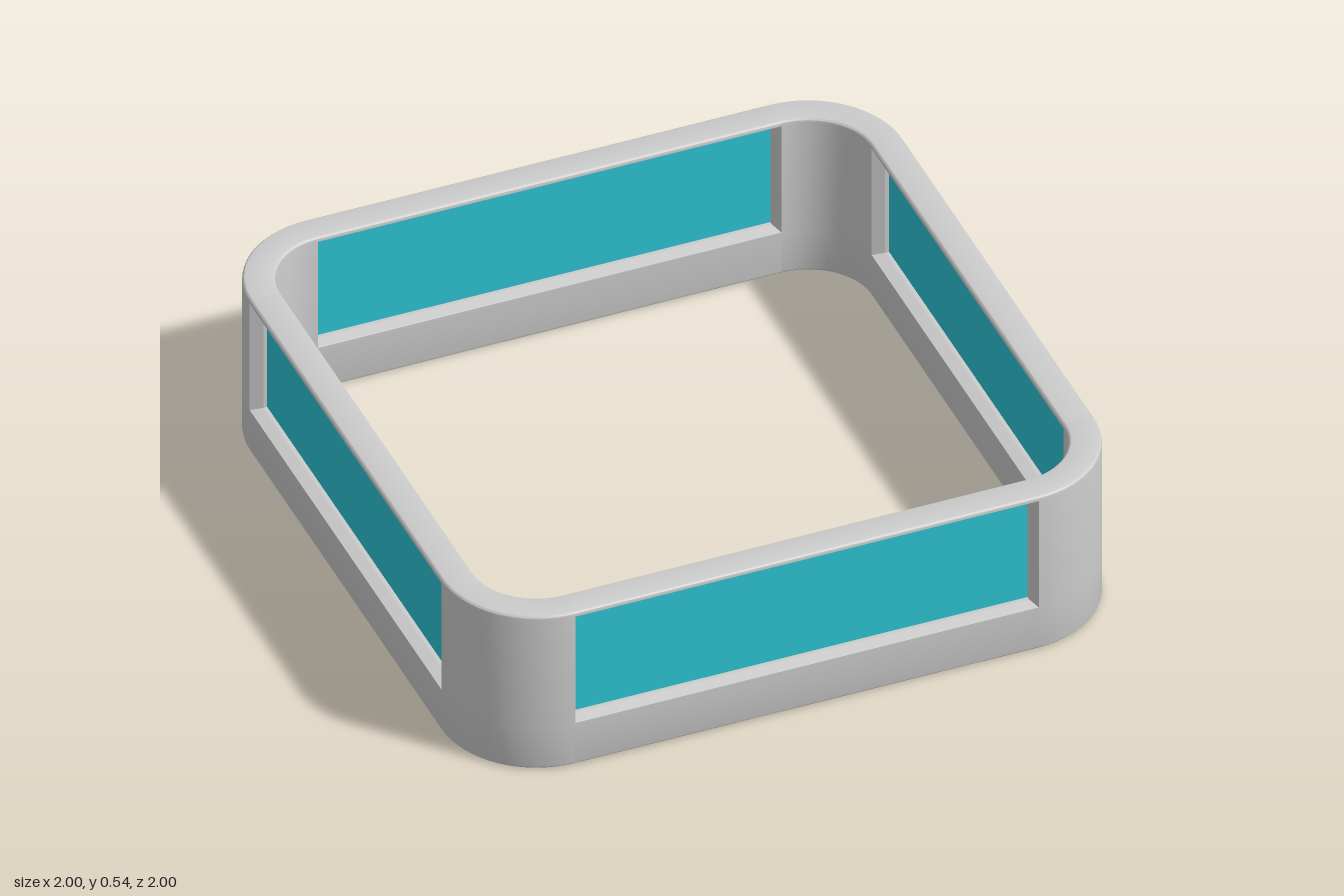
import * as THREE from 'three';
import { mergeGeometries, toCreasedNormals } from 'three/addons/utils/BufferGeometryUtils.js';

const H = 0.54;               // overall height
const C = 0.71;               // corner centre, also half the window width
const R_OUT = 0.29, R_IN = 0.195;
const R_MID = (R_OUT + R_IN) / 2;
const SILL = 0.148, HEAD = 0.525;
const BEVEL = 0.012;

// Surface through rows of points
function loft(rows) {
  const n = rows[0].length, index = [];
  for (let i = 0; i < rows.length - 1; i++) {
    for (let j = 0; j < n - 1; j++) {
      const a = i * n + j, b = a + n;
      index.push(a, b, a + 1, b, b + 1, a + 1);
    }
  }
  const geometry = new THREE.BufferGeometry();
  geometry.setAttribute('position', new THREE.Float32BufferAttribute(rows.flat(2), 3));
  geometry.setIndex(index);
  return geometry;
}

// Small rounded edge of the rail, as [radius, height] points
function roundedEdge(r, y, start) {
  return [0, 1, 2, 3].map((i) => {
    const a = start - (i * Math.PI) / 6;
    return [r + BEVEL * Math.cos(a), y + BEVEL * Math.sin(a)];
  });
}

// Rail cross-sections, running down the outside and up the inside
const lower = [
  [R_OUT, SILL],
  ...roundedEdge(R_OUT - BEVEL, BEVEL, 0),
  ...roundedEdge(R_IN + BEVEL, BEVEL, -Math.PI / 2),
  [R_IN, SILL],
];
const upper = [
  [R_IN, HEAD],
  ...roundedEdge(R_IN + BEVEL, H - BEVEL, Math.PI),
  ...roundedEdge(R_OUT - BEVEL, H - BEVEL, Math.PI / 2),
  [R_OUT, HEAD],
];
const post = [...lower, ...upper, lower[0]];

// Cross-section placed at a point of the path, facing angle a
const section = (profile, x, a) =>
  profile.map(([r, y]) => [x + r * Math.cos(a), y, C + r * Math.sin(a)]);

export function createModel() {
  const group = new THREE.Group();
  const grey = new THREE.MeshStandardMaterial({ color: 0xcccccc });
  const glass = new THREE.MeshStandardMaterial({ color: 0x2cc4d4, side: THREE.DoubleSide });

  // One corner post with the sill and head rail beside it
  const corner = [];
  for (let i = 0; i <= 16; i++) corner.push(section(post, C, (i / 16) * Math.PI / 2));
  const rail = (profile) => loft([C, -C].map((x) => section(profile, x, Math.PI / 2)));
  const bodyGeometry = toCreasedNormals(
    mergeGeometries([loft(corner), rail(lower), rail(upper)]), 0.3);

  // Window reveal: narrows slightly from both faces towards the pane
  const paneW = C - 0.015, paneBottom = SILL + 0.008, paneTop = HEAD - 0.006;
  const steps = [
    [C, SILL, HEAD, R_OUT],
    [paneW, paneBottom, paneTop, R_MID + 0.012],
    [paneW, paneBottom, paneTop, R_MID - 0.012],
    [C, SILL, HEAD, R_IN],
  ];
  const reveal = [[-1, 0], [1, 0], [1, 1], [-1, 1], [-1, 0]].map(([sx, top]) =>
    steps.map(([w, bottom, head, r]) => [sx * w, top ? head : bottom, C + r]));
  const revealGeometry = toCreasedNormals(loft(reveal), 0.2);

  // Thin pane in the middle of the wall
  const paneGeometry = new THREE.PlaneGeometry(paneW * 2, paneTop - paneBottom);
  paneGeometry.translate(0, (paneTop + paneBottom) / 2, C + R_MID);

  // Four identical sides
  ['front', 'left', 'back', 'right'].forEach((name, k) => {
    const side = new THREE.Group();
    side.name = name + 'Side';
    side.rotation.y = (k * Math.PI) / 2;
    const add = (partName, geometry, material) => {
      const mesh = new THREE.Mesh(geometry, material);
      mesh.name = partName;
      side.add(mesh);
    };
    add('wallFrame', bodyGeometry, grey);
    add('windowReveal', revealGeometry, grey);
    add('windowPane', paneGeometry, glass);
    group.add(side);
  });
  return group;
}
